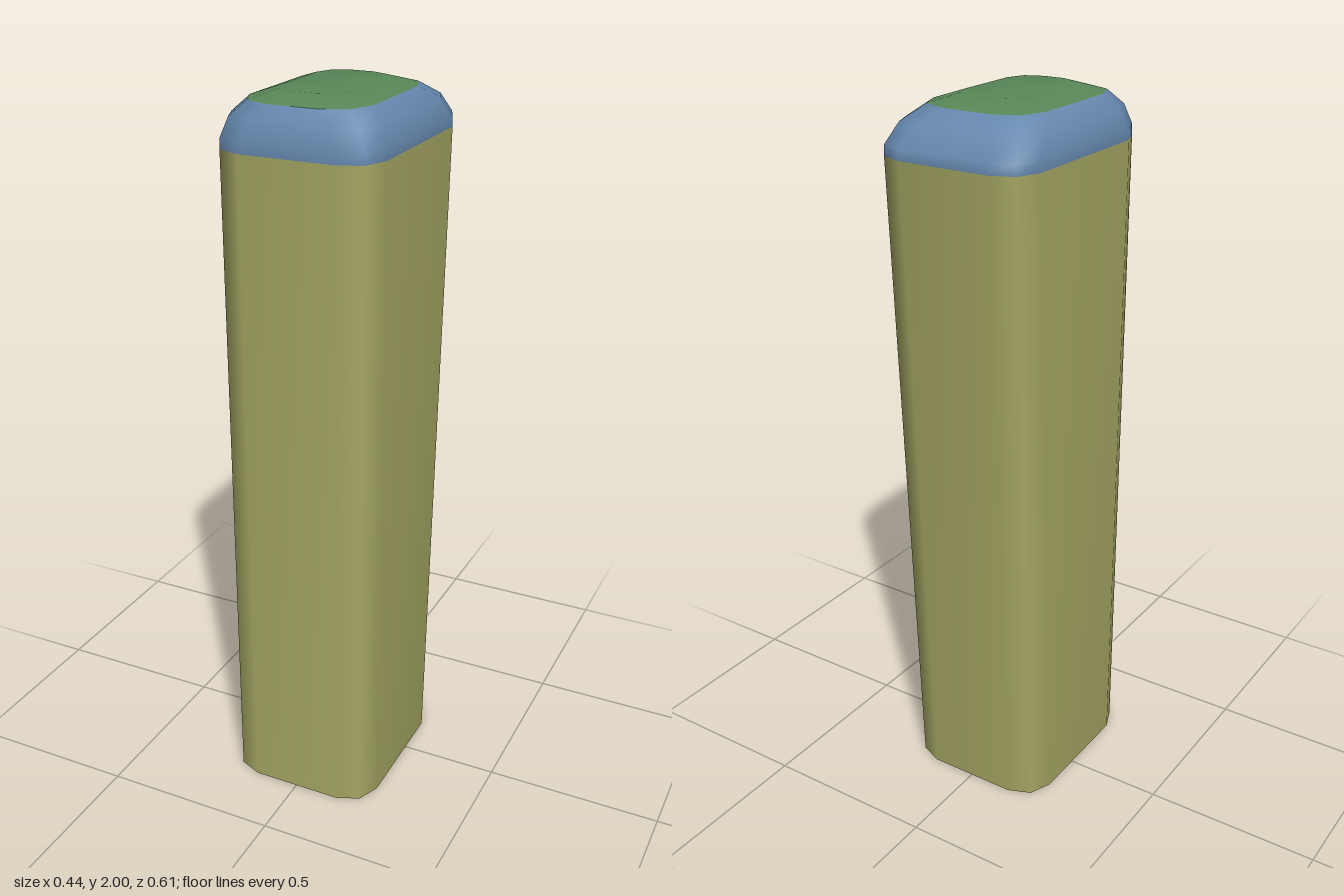
import * as THREE from 'three';

// Rounded-rectangle ring: height, half width, back z, front z, corner radius
function ring([y, w, back, front, r]) {
  const points = [];
  const corners = [[w - r, front - r], [r - w, front - r], [r - w, back + r], [w - r, back + r]];
  corners.forEach(([cx, cz], k) => {
    for (let j = 0; j <= 2; j++) {
      const a = (k + j / 2) * Math.PI / 2;
      points.push([cx + r * Math.cos(a), y, cz + r * Math.sin(a)]);
    }
  });
  return points;
}

// Skin a stack of rings from bottom to top, optionally closed at the top
function loft(name, color, sections, closeTop = false) {
  const rings = sections.map(ring);
  const n = rings[0].length;
  const positions = rings.flat(2);
  const index = [];
  for (let k = 0; k < rings.length - 1; k++) {
    for (let i = 0; i < n; i++) {
      const a = k * n + i, b = k * n + (i + 1) % n;
      index.push(a, a + n, b, b, a + n, b + n);
    }
  }
  if (closeTop) {
    const [y, , back, front] = sections.at(-1);
    const base = (rings.length - 1) * n;
    positions.push(0, y, (back + front) / 2);
    for (let i = 0; i < n; i++) index.push(base + i, base + n, base + (i + 1) % n);
  }
  const geometry = new THREE.BufferGeometry();
  geometry.setAttribute('position', new THREE.Float32BufferAttribute(positions, 3));
  geometry.setIndex(index);
  geometry.computeVertexNormals();
  const mesh = new THREE.Mesh(geometry, new THREE.MeshStandardMaterial({ color, side: THREE.DoubleSide }));
  mesh.name = name;
  return mesh;
}

export function createModel() {
  const group = new THREE.Group();
  group.name = 'taperedTower';

  const rim = [1.86, 0.222, -0.303, 0.305, 0.09];
  const topRim = [1.978, 0.166, -0.202, 0.267, 0.096];

  // Hollow shaft, open below, with a back wall that leans outward
  group.add(loft('shaft', 0xa6a864, [[0, 0.22, -0.22, 0.305, 0.09], rim]));

  // Rounded shoulder
  group.add(loft('shoulder', 0x6688ae, [
    rim,
    [1.888, 0.221, -0.303, 0.305, 0.09],
    [1.94, 0.203, -0.264, 0.292, 0.092],
    topRim,
  ]));

  // Gently domed top
  group.add(loft('topPanel', 0x588858, [topRim, [2, 0.1, -0.13, 0.2, 0.07]], true));

  return group;
}
